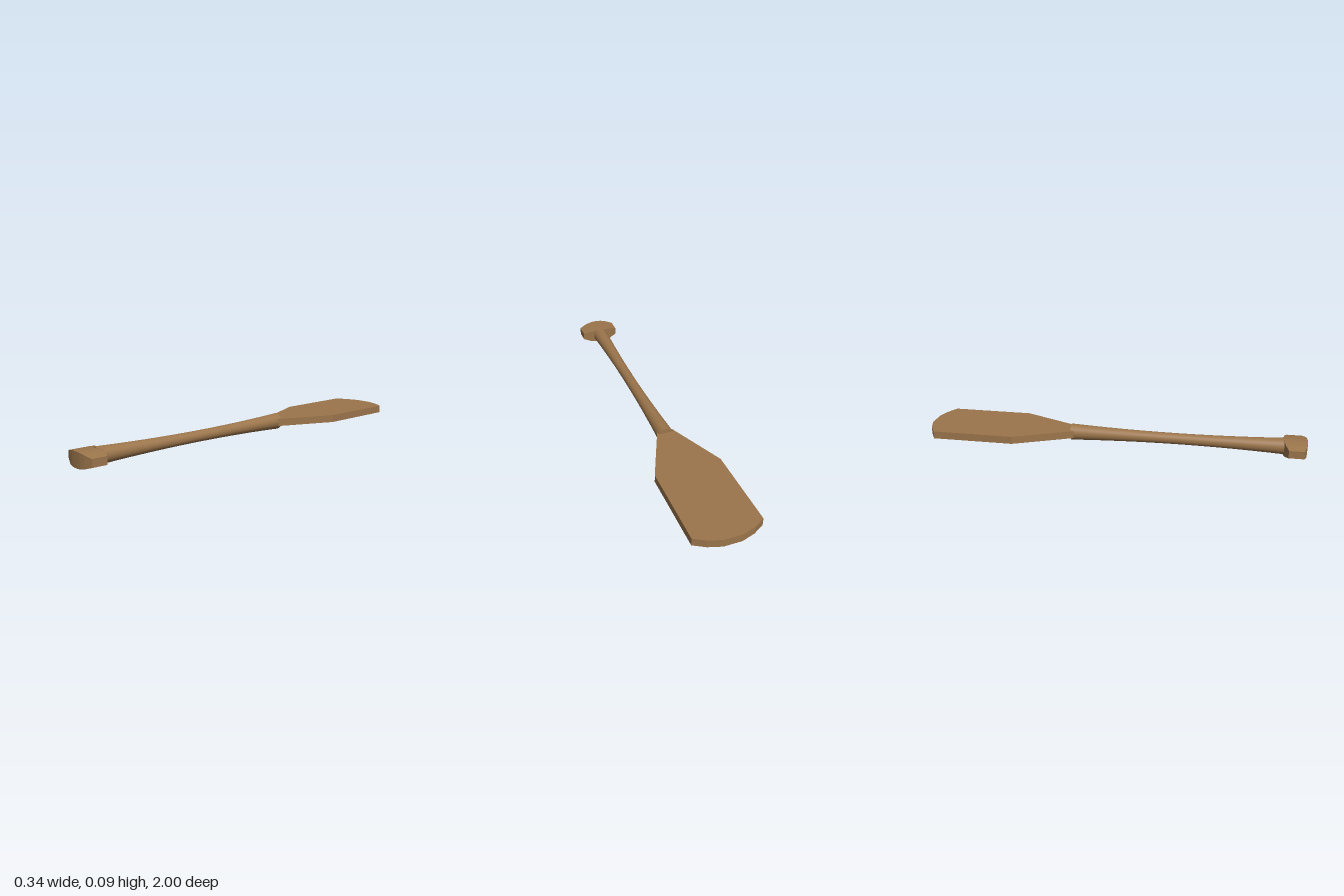
import * as THREE from 'three';

const CY = 0.0437; // height of the paddle's long axis

export function createModel() {
  const wood = new THREE.MeshStandardMaterial({ color: 0x9b754b });
  wood.name = 'wood';
  const model = new THREE.Group();
  model.name = 'paddle';
  const add = (name, geometry) => {
    const mesh = new THREE.Mesh(geometry, wood);
    mesh.name = name;
    model.add(mesh);
    return mesh;
  };

  // Shaft: round, gently waisted in the middle, closed at both ends
  const z0 = -0.23, z1 = 0.905, steps = 12;
  const profile = [new THREE.Vector2(0, z0), new THREE.Vector2(0.0433, z0)];
  for (let i = 0; i <= steps; i++) {
    const t = i / steps;
    const r = 0.029 + 0.0143 * Math.pow(2 * t - 1, 2);
    profile.push(new THREE.Vector2(r, z0 + (z1 - z0) * t));
  }
  profile.push(new THREE.Vector2(0.0433, z1), new THREE.Vector2(0, z1));
  const shaft = add('shaft', new THREE.LatheGeometry(profile, 32));
  shaft.rotation.x = Math.PI / 2;
  shaft.position.y = CY;

  // Blade: flat plate with tapered shoulders and a rounded tip
  const half = [[0.041, 0.212], [0.17, 0.515], [0.17, 0.945], [0.112, 0.979], [0.045, 1]];
  const outline = [...half, ...half.map(([x, z]) => [-x, z]).reverse()];
  const blade = add('blade', new THREE.ExtrudeGeometry(
    new THREE.Shape(outline.map(([x, z]) => new THREE.Vector2(x, z))),
    { depth: 0.04, bevelEnabled: false }));
  blade.rotation.x = -Math.PI / 2;
  blade.position.y = CY - 0.02;

  // Grip: rectangular sections along x, swelling toward the middle
  const side = [[0.104, 0.02, 0.038], [0.062, 0.0325, 0.053], [0.035, 0.0375, 0.058], [0.012, 0.039, 0.0595]];
  const sections = [...side.map(([x, h, d]) => [-x, h, d]), ...side.slice().reverse()];
  const rings = sections.map(([x, h, d]) =>
    [[h, d], [h, -d], [-h, -d], [-h, d]].map(([y, z]) => [x, y, z]));
  const pos = [];
  const quad = (a, b, c, d) => pos.push(...a, ...b, ...c, ...a, ...c, ...d);
  for (let i = 0; i < rings.length - 1; i++) {
    for (let k = 0; k < 4; k++) {
      const n = (k + 1) % 4;
      quad(rings[i][k], rings[i + 1][k], rings[i + 1][n], rings[i][n]);
    }
  }
  const [first, last] = [rings[0], rings[rings.length - 1]];
  quad(first[0], first[1], first[2], first[3]);
  quad(last[3], last[2], last[1], last[0]);
  const gripGeometry = new THREE.BufferGeometry();
  gripGeometry.setAttribute('position', new THREE.Float32BufferAttribute(pos, 3));
  gripGeometry.computeVertexNormals();
  const grip = add('grip', gripGeometry);
  grip.position.set(0, CY, 0.9405);

  return model;
}
